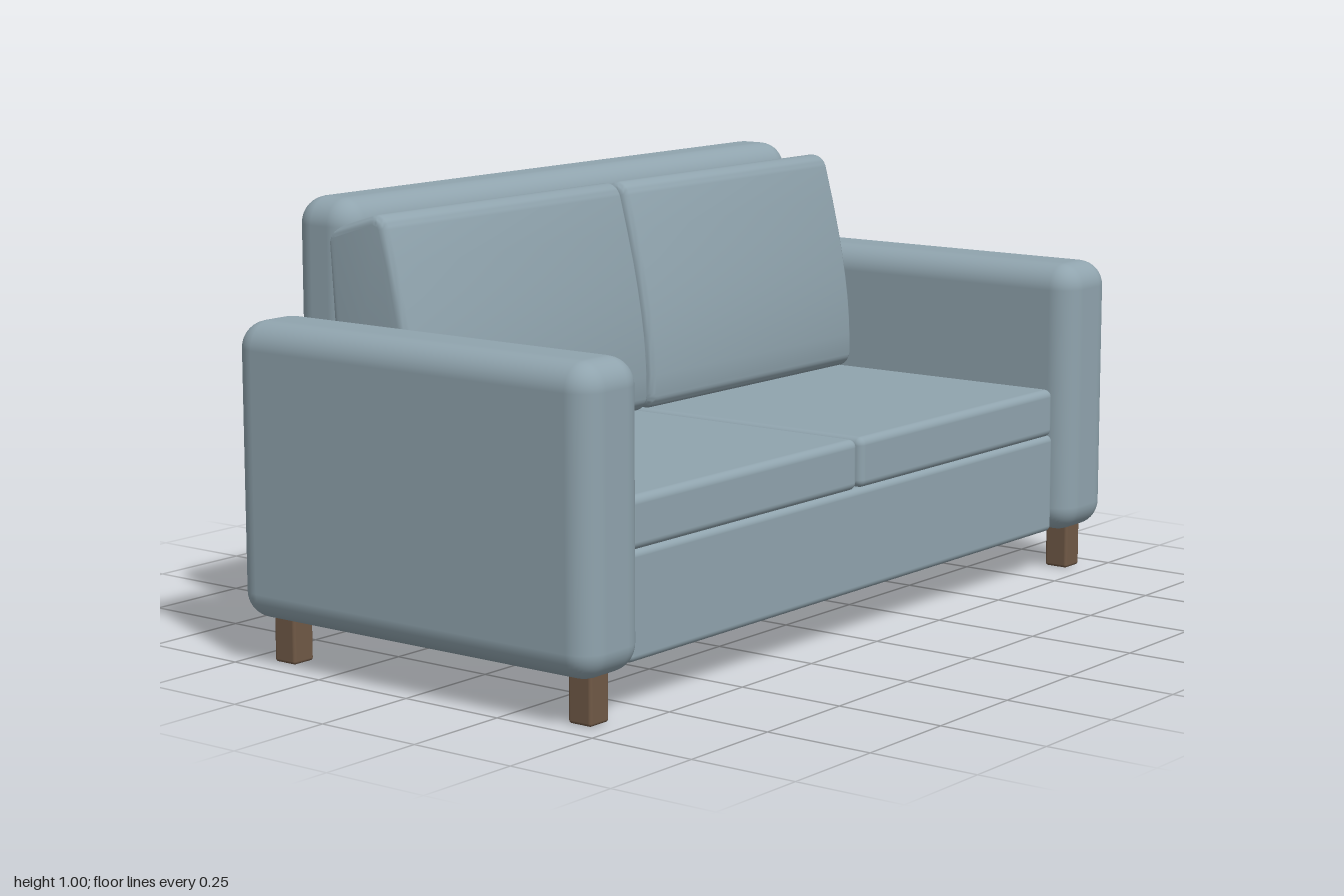
import * as THREE from 'three';
import { RoundedBoxGeometry } from 'three/addons/geometries/RoundedBoxGeometry.js';
import { toCreasedNormals } from 'three/addons/utils/BufferGeometryUtils.js';

const fabric = new THREE.MeshStandardMaterial({ color: 0x90a4ae });
fabric.name = 'blue grey fabric';
const wood = new THREE.MeshStandardMaterial({ color: 0x705946 });
wood.name = 'brown wood';

// Rounded block given by its limits on each axis
function block(name, [x0, x1], [y0, y1], [z0, z1], radius, material = fabric) {
  const geometry = new RoundedBoxGeometry(x1 - x0, y1 - y0, z1 - z0, 5, radius);
  const mesh = new THREE.Mesh(geometry, material);
  mesh.position.set((x0 + x1) / 2, (y0 + y1) / 2, (z0 + z1) / 2);
  mesh.name = name;
  return mesh;
}

// Leaning back cushion: a side profile swept along x with soft edges
function backCushionGeometry(width) {
  const bevel = 0.02;
  const s = new THREE.Shape(); // x = z of the sofa, y = height
  s.moveTo(-0.32, 0.472);
  s.lineTo(-0.172, 0.472);
  s.quadraticCurveTo(-0.157, 0.472, -0.156, 0.49);
  s.bezierCurveTo(-0.155, 0.6, -0.17, 0.72, -0.232, 0.94);
  s.quadraticCurveTo(-0.237, 0.957, -0.255, 0.954);
  s.lineTo(-0.355, 0.922);
  s.quadraticCurveTo(-0.372, 0.917, -0.369, 0.9);
  s.lineTo(-0.335, 0.487);
  s.quadraticCurveTo(-0.334, 0.472, -0.32, 0.472);
  const geometry = new THREE.ExtrudeGeometry(s, {
    depth: width - 2 * bevel, steps: 1, curveSegments: 8,
    bevelThickness: bevel, bevelSize: bevel, bevelSegments: 5,
  });
  geometry.translate(0, 0, -(width - 2 * bevel) / 2);
  geometry.rotateY(-Math.PI / 2);
  // The quarter turn maps profile x onto z and the sweep onto x
  return toCreasedNormals(geometry, 0.7);
}

export function createModel() {
  const sofa = new THREE.Group();
  sofa.name = 'sofa';

  // Frame
  sofa.add(block('base', [-0.815, 0.815], [0.105, 0.34], [-0.34, 0.45], 0.015));
  sofa.add(block('backrest', [-0.81, 0.81], [0.105, 1], [-0.492, -0.325], 0.06));

  const cushion = backCushionGeometry(0.805);
  for (const side of [1, -1]) {
    const label = side > 0 ? 'left' : 'right';
    const span = (a, b) => (side > 0 ? [a, b] : [-b, -a]);

    // Arm and its two legs
    sofa.add(block(label + 'Arm', span(0.812, 1), [0.1, 0.75], [-0.492, 0.492], 0.06));
    sofa.add(block(label + 'FrontLeg', span(0.883, 0.943), [0, 0.12], [0.39, 0.45], 0.007, wood));
    sofa.add(block(label + 'BackLeg', span(0.883, 0.943), [0, 0.12], [-0.436, -0.376], 0.007, wood));

    // Seat and back cushions
    sofa.add(block(label + 'SeatCushion', span(0.005, 0.812), [0.338, 0.452], [-0.34, 0.45], 0.018));
    const back = new THREE.Mesh(cushion, fabric);
    back.name = label + 'BackCushion';
    back.position.x = side * 0.4075;
    sofa.add(back);
  }
  return sofa;
}
